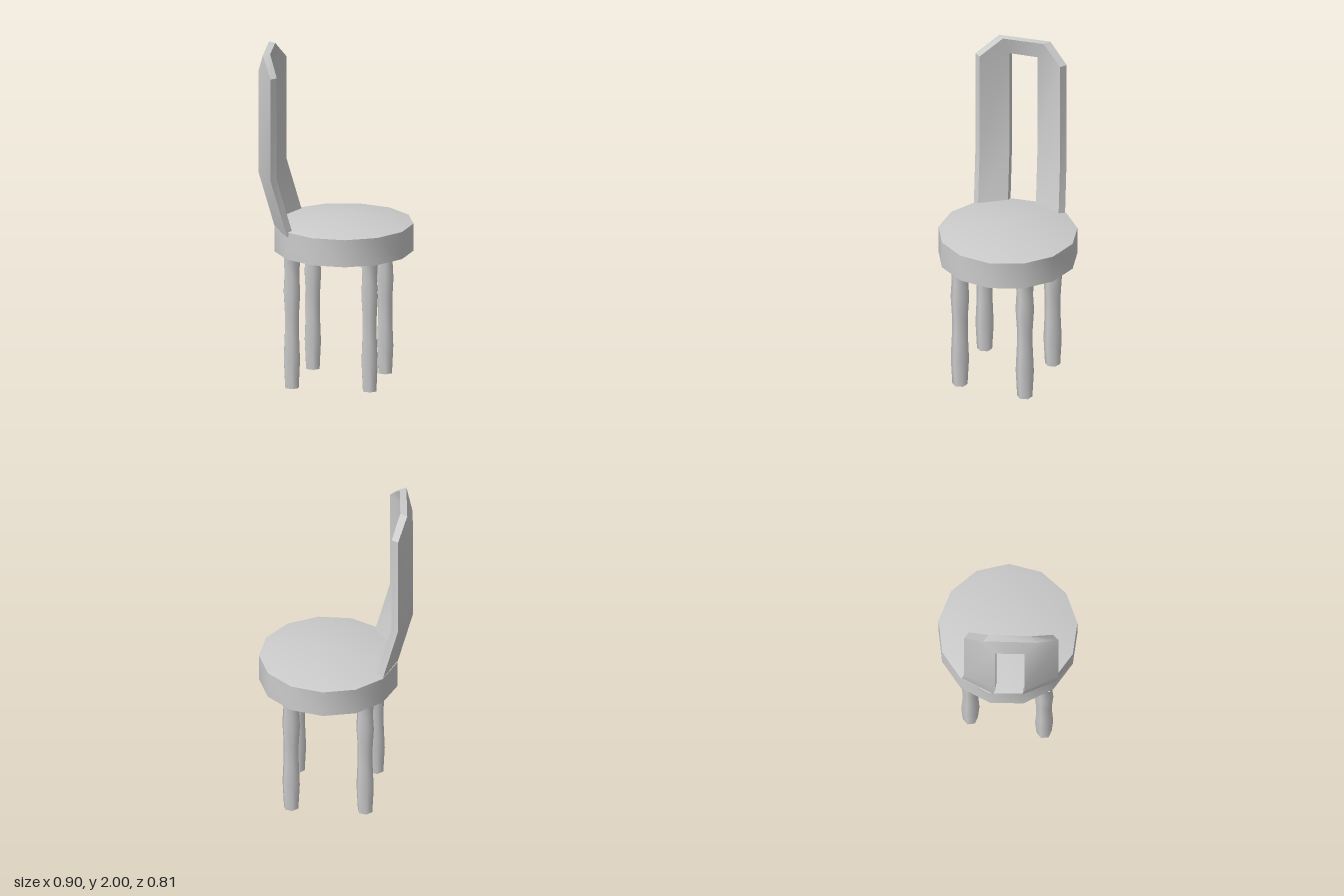
import * as THREE from 'three';
import { toCreasedNormals } from 'three/addons/utils/BufferGeometryUtils.js';

const material = new THREE.MeshStandardMaterial({ color: 0xcccccc });

function addPart(parent, name, geometry, crease = 0.7) {
  const mesh = new THREE.Mesh(toCreasedNormals(geometry, crease), material);
  mesh.name = name;
  parent.add(mesh);
  return mesh;
}

function lathe(profile, sides, start) {
  return new THREE.LatheGeometry(profile.map(([r, y]) => new THREE.Vector2(r, y)), sides, start);
}

// Piecewise linear lookup through [input, output] pairs
function lookup(table, v) {
  let i = 0;
  while (i < table.length - 2 && v > table[i + 1][0]) i++;
  const [a, fa] = table[i], [b, fb] = table[i + 1];
  return fa + ((fb - fa) * (v - a)) / (b - a);
}

// Arch swept from one post, over the top, to the other post, wrapped round the seat
function backrestGeometry() {
  const backCurve = [[-0.2, -0.385], [-0.005, -0.455], [0.165, -0.435], [0.35, -0.32]];
  const frontCurve = [[-0.2, -0.345], [-0.005, -0.41], [0.165, -0.395], [0.35, -0.292]];
  // Each station: outer z, outer y, inner z, inner y
  const stations = [
    [-0.2, 0.93, -0.005, 0.93], [-0.2, 1.27, -0.005, 1.27], [-0.2, 1.89, -0.005, 1.89],
    [-0.08, 2, -0.005, 1.89], [0.23, 2, 0.165, 1.89],
    [0.35, 1.89, 0.165, 1.89], [0.35, 1.27, 0.165, 1.27], [0.35, 0.93, 0.165, 0.93],
  ];
  const positions = [], indices = [];
  const put = (curve, z, y, inset) => {
    const below = Math.max(0, 1.27 - y); // posts lean in towards the seat
    const zIn = z + inset * (z < 0.08 ? 1 : -1.5);
    positions.push(lookup(curve, z) + below * 0.275, y, zIn - below * 0.08);
  };
  for (const [zo, yo, zi, yi] of stations) {
    put(backCurve, zo, yo, 0);
    put(backCurve, zi, yi, 0);
    put(frontCurve, zi, yi, 0);
    put(frontCurve, zo, yo, 0.025);
  }
  for (let s = 0; s < stations.length - 1; s++) {
    for (let k = 0; k < 4; k++) {
      const a = s * 4 + k, b = s * 4 + ((k + 1) % 4);
      indices.push(a, b, b + 4, a, b + 4, a + 4);
    }
  }
  const geometry = new THREE.BufferGeometry();
  geometry.setAttribute('position', new THREE.Float32BufferAttribute(positions, 3));
  geometry.setIndex(indices);
  return geometry;
}

export function createModel() {
  const model = new THREE.Group();
  model.name = 'chair';

  // Thirteen-sided seat with a shallow domed top
  const seat = addPart(model, 'seat',
    lathe([[0, 0.79], [0.41, 0.79], [0.41, 0.955], [0.375, 0.962], [0, 1.015]], 13, Math.PI));
  seat.position.x = 0.04;

  addPart(model, 'backrest', backrestGeometry());

  // Slightly knobbly six-sided legs
  const legProfile = [[0, 0], [0.045, 0], [0.054, 0.17], [0.047, 0.33], [0.047, 0.45],
    [0.055, 0.58], [0.049, 0.68], [0.055, 0.8]];
  const legs = {
    frontLeftLeg: [0.245, 0.22], backLeftLeg: [0.245, -0.19],
    frontRightLeg: [-0.215, 0.25], backRightLeg: [-0.19, -0.19],
  };
  for (const [name, [x, z]] of Object.entries(legs)) {
    addPart(model, name, lathe(legProfile, 6, 0.26), 1.1).position.set(x, 0, z);
  }
  return model;
}
